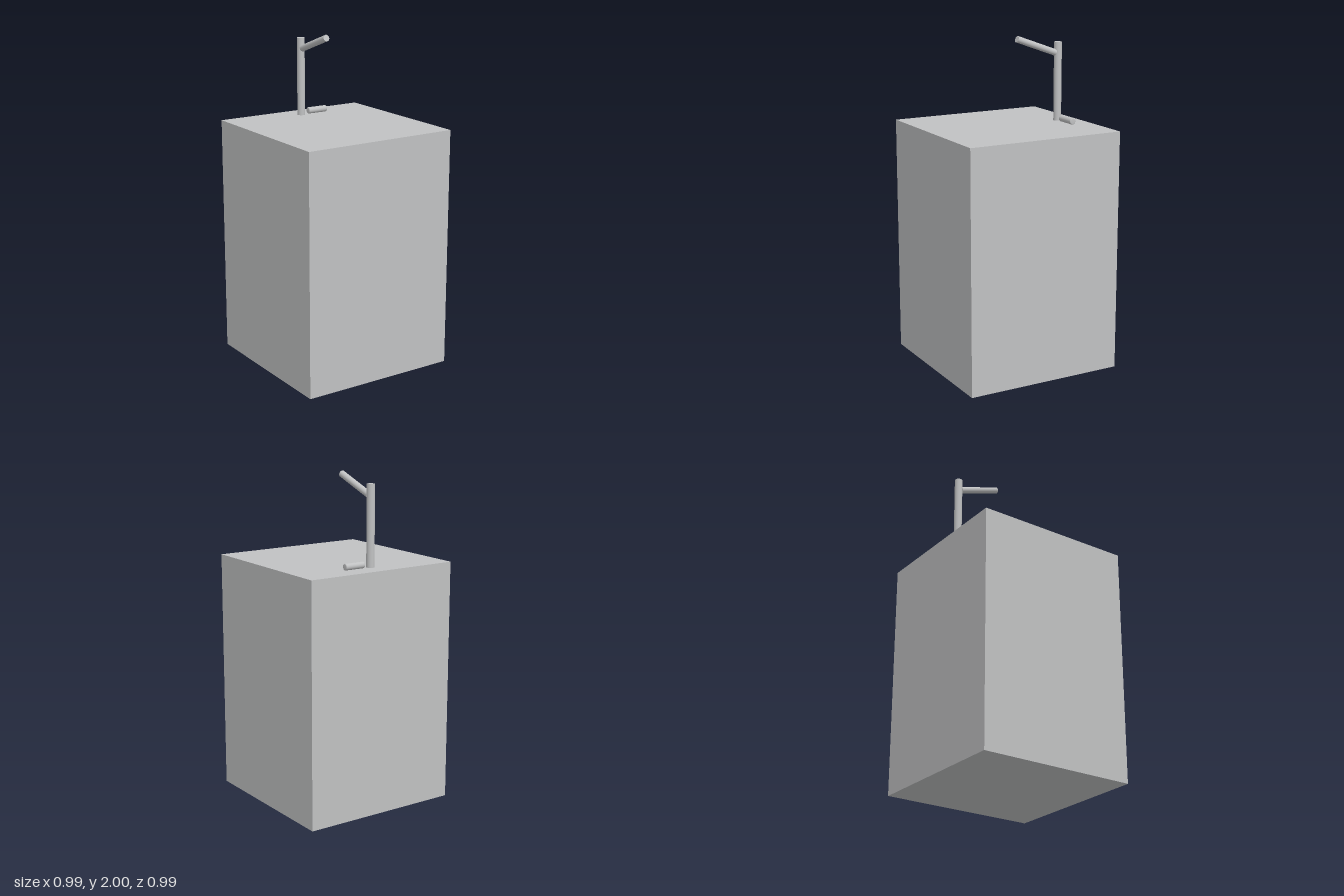
import * as THREE from 'three';

export function createModel() {
  const model = new THREE.Group();
  const grey = new THREE.MeshStandardMaterial({ color: 0xc0c1c2 });
  grey.name = 'light grey';

  const add = (name, geometry, x, y, z) => {
    const mesh = new THREE.Mesh(geometry, grey);
    mesh.name = name;
    mesh.position.set(x, y, z);
    model.add(mesh);
    return mesh;
  };

  // Cabinet and worktop
  const width = 0.988, cabinetTop = 1.422, counterTop = 1.469;
  add('cabinet', new THREE.BoxGeometry(width, cabinetTop, width), 0, cabinetTop / 2, 0);
  add('counter', new THREE.BoxGeometry(width, counterTop - cabinetTop, width),
    0, (cabinetTop + counterTop) / 2, 0);

  // Tap post at the back of the counter
  const tapZ = -0.366, postTop = 1.95;
  add('tapPost', new THREE.CylinderGeometry(0.024, 0.024, postTop - counterTop, 32),
    0, (postTop + counterTop) / 2, tapZ);

  // Spout rising forward from the post
  const start = new THREE.Vector3(0, 1.886, -0.346);
  const end = new THREE.Vector3(0, 1.981, -0.08);
  const along = end.clone().sub(start);
  const middle = start.clone().add(end).multiplyScalar(0.5);
  const spout = add('spout', new THREE.CylinderGeometry(0.02, 0.02, along.length(), 32),
    middle.x, middle.y, middle.z);
  spout.quaternion.setFromUnitVectors(new THREE.Vector3(0, 1, 0), along.normalize());

  // Lever lying on the counter, with softened ends
  const r = 0.02, half = 0.066, bevel = 0.005;
  const profile = [
    [0, -half], [r - bevel, -half], [r - bevel * 0.3, -half + bevel * 0.3], [r, -half + bevel],
    [r, half - bevel], [r - bevel * 0.3, half - bevel * 0.3], [r - bevel, half], [0, half],
  ].map(([x, y]) => new THREE.Vector2(x, y));
  const lever = add('lever', new THREE.LatheGeometry(profile, 32), 0.115, counterTop + r, tapZ);
  lever.rotation.z = -Math.PI / 2;

  return model;
}
